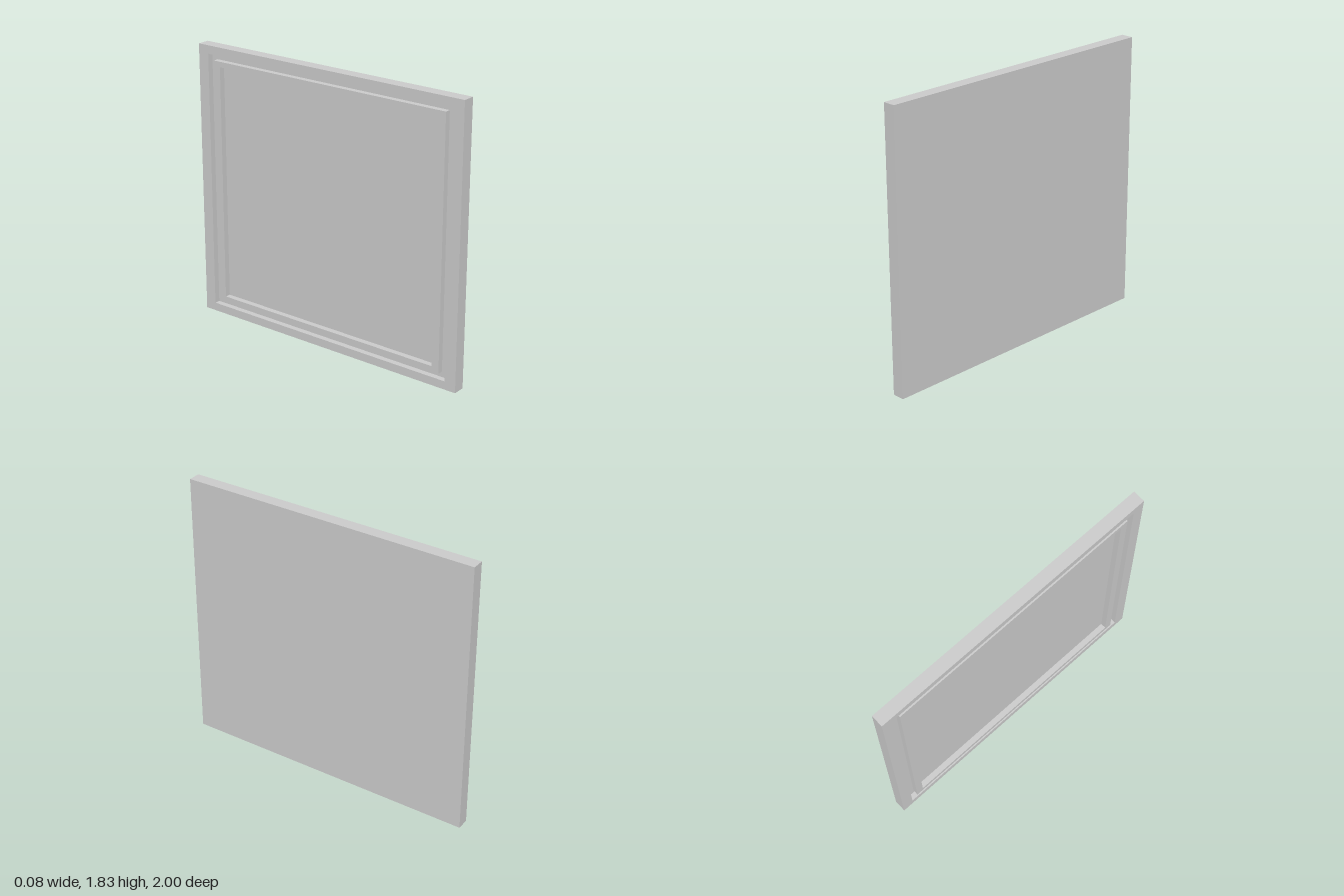
import * as THREE from 'three';

const LENGTH = 2, HEIGHT = 1.83, THICK = 0.082, DEPTH = 0.038;

// Rectangle outline inset from the panel edge, in (z, y)
function rect(Type, insetZ, insetY) {
  const z = LENGTH / 2 - insetZ, y0 = insetY, y1 = HEIGHT - insetY;
  return new Type([
    new THREE.Vector2(-z, y0), new THREE.Vector2(z, y0),
    new THREE.Vector2(z, y1), new THREE.Vector2(-z, y1),
  ]);
}

export function createModel() {
  const group = new THREE.Group();
  const material = new THREE.MeshStandardMaterial({ color: 0xcccccc });
  const floorX = -THICK / 2 + DEPTH;

  function add(name, geometry) {
    const mesh = new THREE.Mesh(geometry, material);
    mesh.name = name;
    group.add(mesh);
    return mesh;
  }

  // Raised rectangular frame standing on the recess floor, towards -x
  function frame(name, outer, inner) {
    const shape = rect(THREE.Shape, ...outer);
    shape.holes.push(rect(THREE.Path, ...inner));
    const geometry = new THREE.ExtrudeGeometry(shape, { depth: DEPTH, bevelEnabled: false });
    geometry.rotateY(-Math.PI / 2);
    add(name, geometry).position.x = floorX;
  }

  // Plain slab: its +x face is flat, its -x face is the recess floor
  const slab = add('backPanel', new THREE.BoxGeometry(THICK - DEPTH, HEIGHT, LENGTH));
  slab.position.set((floorX + THICK / 2) / 2, HEIGHT / 2, 0);

  // Outer border, then a narrow groove, then the inner moulding
  frame('outerFrame', [0, 0], [0.077, 0.055]);
  frame('innerMoulding', [0.123, 0.091], [0.173, 0.127]);

  return group;
}
